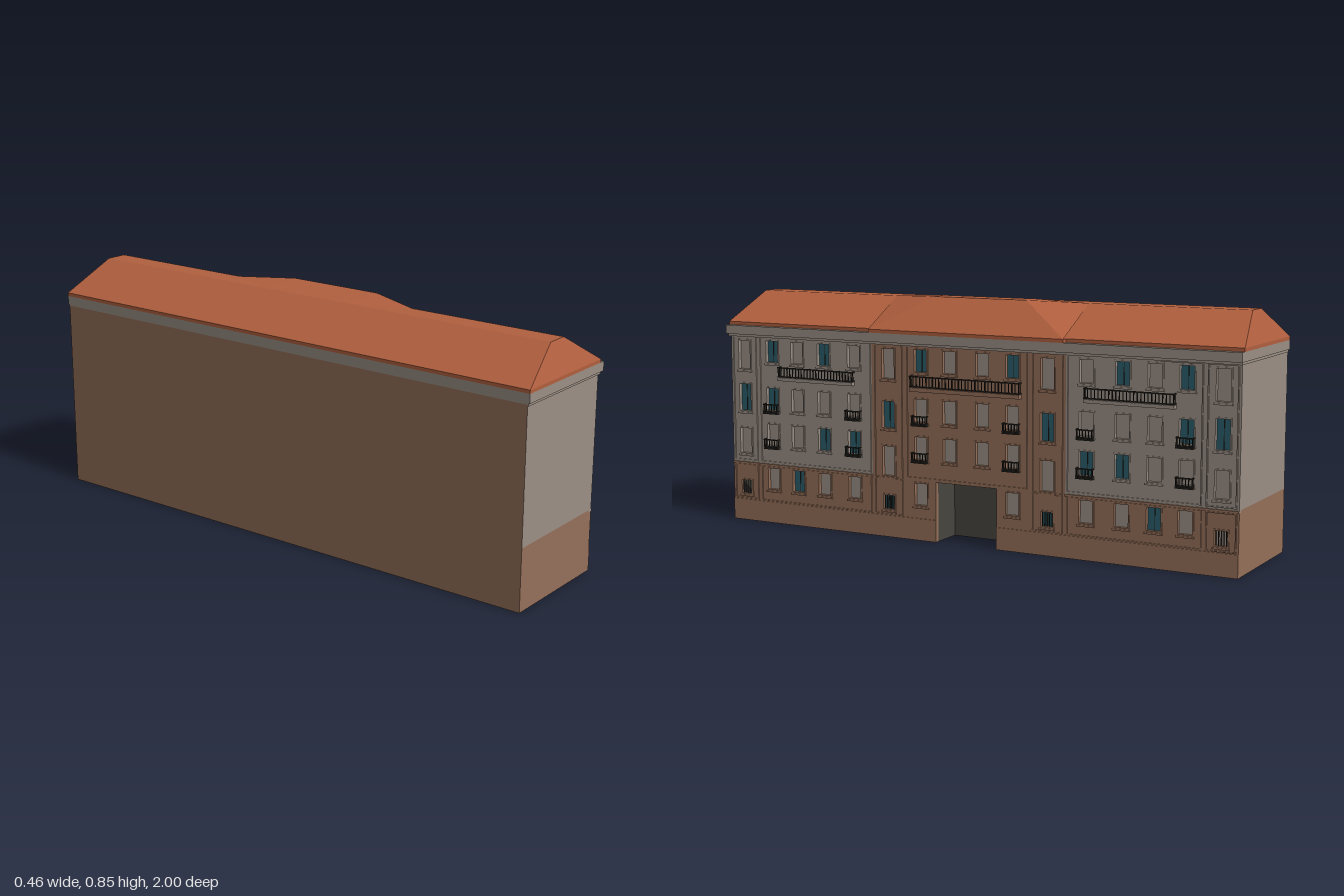
import * as THREE from 'three';

const mat = (name, color, side = THREE.FrontSide) => {
  const m = new THREE.MeshStandardMaterial({ color, side });
  m.name = name;
  return m;
};

export function createModel() {
  const root = new THREE.Group();
  root.name = 'apartmentBuilding';
  const brown = mat('brownPlaster', 0x96705a, THREE.DoubleSide);
  const grey = mat('greyPlaster', 0x9c9086, THREE.DoubleSide);
  const tile = mat('roofTile', 0xb2603f, THREE.DoubleSide);
  const teal = mat('tealGlass', 0x2a5f6c);
  const dark = mat('gateDark', 0x474540, THREE.DoubleSide);
  const iron = mat('blackIron', 0x24221f);

  const add = (name, geo, m, parent = root) => {
    const mesh = new THREE.Mesh(geo, m);
    mesh.name = name;
    parent.add(mesh);
    return mesh;
  };
  // box from min/max bounds
  const box = (name, m, x0, x1, y0, y1, z0, z1, parent) => {
    const g = new THREE.BoxGeometry(x1 - x0, y1 - y0, z1 - z0);
    g.translate((x0 + x1) / 2, (y0 + y1) / 2, (z0 + z1) / 2);
    return add(name, g, m, parent);
  };
  // flat polygons (each a corner loop), fanned into triangles
  const polys = (name, m, loops) => {
    const p = [];
    for (const l of loops)
      for (let i = 1; i < l.length - 1; i++) p.push(...l[0], ...l[i], ...l[i + 1]);
    const g = new THREE.BufferGeometry();
    g.setAttribute('position', new THREE.Float32BufferAttribute(p, 3));
    g.computeVertexNormals();
    return add(name, g, m);
  };

  const BACK = -0.23, WALL = 0.205, END = 0.993;

  // back and end walls (open underneath)
  polys('backWall', brown, [[[BACK, 0, -END], [BACK, 0, END], [BACK, 0.69, END], [BACK, 0.69, -END]]]);
  for (const s of [1, -1]) {
    const end = (name, m, y0, y1) => {
      const l = [[BACK, y0, s * END], [WALL, y0, s * END], [WALL, y1, s * END], [BACK, y1, s * END]];
      polys(name, m, [s > 0 ? l : l.reverse()]);
    };
    end('endWallBase', brown, 0, 0.22);
    end('endWallUpper', grey, 0.22, 0.69);
  }

  // window list for the half facade: z, bottom, top, width, teal glass?
  const windows = [];
  const row = (y0, y1, columns, blue, w = 0.05) =>
    columns.forEach(z => windows.push({ z, y0, y1, w, blue: blue.includes(z) }));
  const cols = [0.81, 0.7, 0.585, 0.456, 0.18, 0.065];
  row(0.595, 0.673, cols, [0.81, 0.585, 0.18]);
  row(0.42, 0.5, cols, [0.81]);
  row(0.287, 0.367, cols, [0.585, 0.456]);
  row(0.125, 0.203, cols.slice(0, 5), [0.7]);
  row(0.565, 0.67, [0.933, 0.312], []);
  row(0.41, 0.51, [0.933], [0.933]);
  row(0.39, 0.485, [0.312], [0.312]);
  row(0.252, 0.345, [0.933], []);
  row(0.22, 0.325, [0.312], []);
  row(0.1, 0.15, [0.933, 0.312], [0.312], 0.045);

  // facade wall pieces with window openings cut through
  const wallPiece = (name, m, u0, u1, y0, y1) => {
    const s = new THREE.Shape([[u0, y0], [u1, y0], [u1, y1], [u0, y1]].map(p => new THREE.Vector2(...p)));
    for (const sign of [1, -1]) for (const w of windows) {
      const c = sign * w.z, h = w.w / 2;
      if (c < u0 || c > u1 || w.y0 < y0 || w.y1 > y1) continue;
      s.holes.push(new THREE.Path([[c - h, w.y0], [c - h, w.y1], [c + h, w.y1], [c + h, w.y0]]
        .map(p => new THREE.Vector2(...p))));
    }
    const g = new THREE.ExtrudeGeometry(s, { depth: 0.015, bevelEnabled: false });
    g.rotateY(Math.PI / 2);
    g.translate(WALL - 0.015, 0, 0);
    add(name, g, m);
  };
  const GROUND = 0.212;
  wallPiece('centreWall', brown, -0.38, 0.38, GROUND, 0.69);
  wallPiece('groundWall', brown, 0.12, END, 0, GROUND);
  wallPiece('groundWall', brown, -END, -0.12, 0, GROUND);
  wallPiece('sideWall', grey, 0.38, END, GROUND, 0.69);
  wallPiece('sideWall', grey, -END, -0.38, GROUND, 0.69);

  // raised strips around a rectangular facade panel
  const outline = (name, m, z0, z1, y0, y1, t, x1) => {
    const g = new THREE.Group();
    g.name = name;
    root.add(g);
    const x0 = WALL - 0.002;
    box('topStrip', m, x0, x1, y1 - t, y1, z0, z1, g);
    box('bottomStrip', m, x0, x1, y0, y0 + t, z0, z1, g);
    box('sideStrip', m, x0, x1, y0 + t, y1 - t, z0, z0 + t, g);
    box('sideStrip', m, x0, x1, y0 + t, y1 - t, z1 - t, z1, g);
  };

  // iron balcony: slab, rails and balusters
  const balcony = (z, w, y, h, slabMat, slabH) => {
    const g = new THREE.Group();
    g.name = 'balcony';
    root.add(g);
    const z0 = z - w / 2, z1 = z + w / 2, X = 0.226, r = 0.0022;
    box('slab', slabMat, WALL, X, y, y + slabH, z0, z1, g);
    for (const ry of [y + slabH + 0.006, y + h]) {
      box('frontRail', iron, X - 2 * r, X, ry - 2 * r, ry, z0, z1, g);
      for (const e of [z0, z1 - 2 * r]) box('sideRail', iron, WALL, X, ry - 2 * r, ry, e, e + 2 * r, g);
    }
    const n = Math.max(5, Math.round(w / 0.013));
    for (let i = 0; i <= n; i++) {
      const c = z0 + r + (w - 2 * r) * i / n;
      box('baluster', iron, X - 2 * r, X - r, y + slabH, y + h, c - r * 0.7, c + r * 0.7, g);
    }
    for (const e of [z0, z1 - r]) box('sideBaluster', iron, 0.213, 0.216, y + slabH, y + h, e, e + r, g);
  };

  for (const s of [1, -1]) {
    const span = (a, b) => (s > 0 ? [a, b] : [-b, -a]);
    // panes, surrounds and sills
    for (const w of windows) {
      const z = s * w.z, h = w.w / 2;
      const m = w.z < 0.38 || w.y0 < GROUND ? brown : grey;
      box('pane', w.blue ? teal : grey, 0.188, 0.194, w.y0, w.y1, z - h, z + h);
      if (w.blue) box('mullion', iron, 0.194, 0.196, w.y0, w.y1, z - 0.001, z + 0.001);
      outline('windowSurround', m, z - h - 0.005, z + h + 0.005, w.y0 - 0.005, w.y1 + 0.005, 0.005, 0.208);
      box('sill', m, WALL, 0.211, w.y0 - 0.011, w.y0 - 0.005, z - h - 0.007, z + h + 0.007);
      // small barred windows at street level
      if (w.y1 < 0.16) for (let i = -2; i <= 2; i++)
        box('windowBar', iron, 0.2, 0.204, w.y0, w.y1, z + i * 0.009 - 0.0012, z + i * 0.009 + 0.0012);
    }
    // panel mouldings, plinth and storey band
    outline('groundPanel', brown, ...span(0.385, 0.865), 0.08, 0.21, 0.004, 0.209);
    outline('groundPanel', brown, ...span(0.88, 0.985), 0.08, 0.21, 0.004, 0.209);
    outline('groundPanel', brown, ...span(0.255, 0.37), 0.08, 0.21, 0.004, 0.209);
    outline('sidePanel', grey, ...span(0.385, 0.865), 0.225, 0.685, 0.004, 0.209);
    outline('cornerPanel', grey, ...span(0.88, 0.985), 0.225, 0.685, 0.004, 0.209);
    outline('bayPanel', brown, ...span(0.255, 0.37), 0.212, 0.685, 0.004, 0.209);
    box('plinth', brown, WALL, 0.208, 0, 0.078, ...span(0.12, END));
    box('storeyBand', brown, WALL, 0.21, 0.211, 0.219, ...span(0.38, END));
    // balconies
    for (const z of [0.81, 0.456, 0.18]) {
      balcony(s * z, 0.06, 0.407, 0.037, iron, 0.005);
      balcony(s * z, 0.06, 0.277, 0.037, iron, 0.005);
    }
    balcony(s * 0.613, 0.32, 0.532, 0.05, grey, 0.012);
  }
  outline('centrePanel', brown, -0.237, 0.237, 0.22, 0.685, 0.004, 0.209);
  balcony(0, 0.43, 0.528, 0.055, brown, 0.014);

  // recessed gateway, open below
  const gx = 0.075, gz = 0.12, gy = GROUND;
  polys('gateway', dark, [
    [[gx, 0, gz], [gx, 0, -gz], [gx, gy, -gz], [gx, gy, gz]],
    [[WALL, 0, gz], [gx, 0, gz], [gx, gy, gz], [WALL, gy, gz]],
    [[gx, 0, -gz], [WALL, 0, -gz], [WALL, gy, -gz], [gx, gy, -gz]],
    [[gx, gy, gz], [gx, gy, -gz], [WALL, gy, -gz], [WALL, gy, gz]],
  ]);

  // cornice
  box('corniceLower', grey, BACK, 0.216, 0.685, 0.694, -0.996, 0.996);
  box('cornice', grey, BACK, 0.227, 0.694, 0.726, -1, 1);

  // main hipped roof with a flat ridge strip
  const E = 0.738, R = 0.843, xr = 0.205, rb = -0.05, rf = 0.03, ze = 0.96;
  box('eaves', tile, BACK, xr, 0.726, E, -1, 1);
  polys('mainRoof', tile, [
    [[xr, E, 1], [xr, E, -1], [rf, R, -ze], [rf, R, ze]],
    [[BACK, E, -1], [BACK, E, 1], [rb, R, ze], [rb, R, -ze]],
    [[rb, R, ze], [rf, R, ze], [rf, R, -ze], [rb, R, -ze]],
    [[BACK, E, 1], [xr, E, 1], [rf, R, ze], [rb, R, ze]],
    [[xr, E, -1], [BACK, E, -1], [rb, R, -ze], [rf, R, -ze]],
  ]);

  // raised central roof running forward over the middle bays
  const xe = 0.228, xt = 0.105, T = 0.851, zc = 0.38, zt = 0.18;
  box('centreEaves', tile, xr - 0.02, xe, 0.726, E, -zc, zc);
  polys('centreRoof', tile, [
    [[xe, E, zc], [xe, E, -zc], [xt, T, -zt], [xt, T, zt]],
    [[rf, T, zt], [xt, T, zt], [xt, T, -zt], [rf, T, -zt]],
    [[xe, E, zc], [xt, T, zt], [rf, R, zc]],
    [[xt, T, zt], [rf, T, zt], [rf, R, zc]],
    [[xe, E, -zc], [rf, R, -zc], [xt, T, -zt]],
    [[xt, T, -zt], [rf, R, -zc], [rf, T, -zt]],
    [[rf, T, zt], [rf, T, -zt], [rb, R, -zt], [rb, R, zt]],
    [[rf, R, zc], [rf, T, zt], [rb, R, zt]],
    [[rf, R, -zc], [rb, R, -zt], [rf, T, -zt]],
  ]);

  return root;
}
